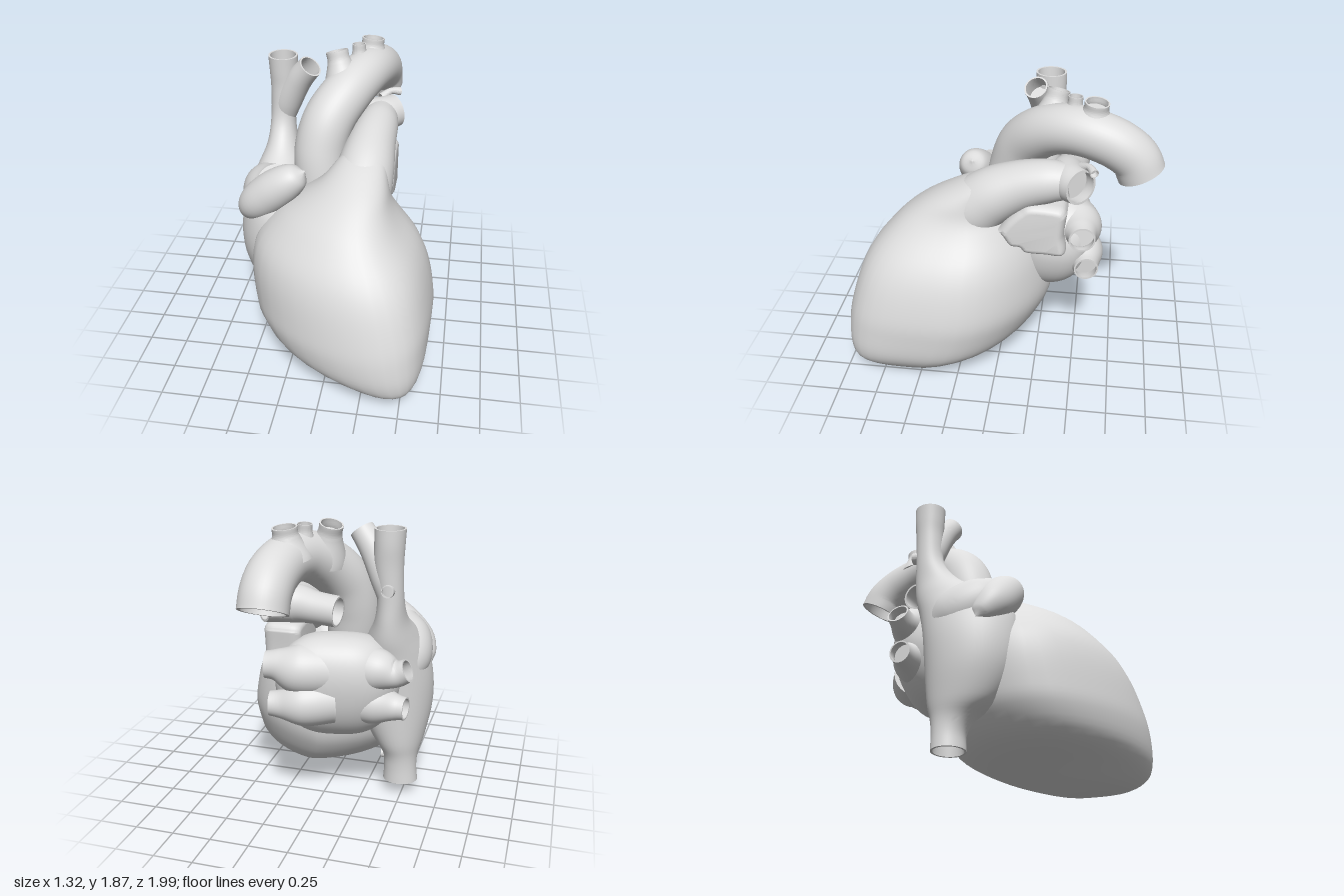
import * as THREE from 'three';
import { toCreasedNormals } from 'three/addons/utils/BufferGeometryUtils.js';

const SIDES = 40;
const V = (x, y, z) => new THREE.Vector3(x, y, z);
const soft = (v, p) => Math.sign(v) * Math.abs(v) ** p;

function centre(ring) {
  return ring.reduce((s, p) => s.add(p), V(0, 0, 0)).divideScalar(ring.length);
}

// Ends a run of rings: an open end gets a rim and an inner wall, a closed one a cap
function finishEnd(rings, depth) {
  const out = [...rings];
  const last = rings.length - 1;
  for (let i = 0; i < depth; i++) {
    const ring = rings[last - i], c = centre(ring);
    out.push(ring.map(p => p.clone().lerp(c, 0.13)));
  }
  const c = centre(out[out.length - 1]);
  out.push(rings[0].map(() => c.clone()));
  return out;
}

// Skin over a run of rings
function skin(rings, openStart = 0, openEnd = 0) {
  const ended = finishEnd(rings, openEnd);
  const started = finishEnd([...rings].reverse(), openStart).slice(rings.length).reverse();
  const all = [...started, ...ended];
  const pos = [], index = [];
  all.forEach(ring => ring.forEach(p => pos.push(p.x, p.y, p.z)));
  for (let i = 0; i < all.length - 1; i++) {
    for (let j = 0; j < SIDES; j++) {
      const a = i * SIDES + j, b = i * SIDES + (j + 1) % SIDES;
      index.push(a, b, b + SIDES, a, b + SIDES, a + SIDES);
    }
  }
  const geo = new THREE.BufferGeometry();
  geo.setAttribute('position', new THREE.Float32BufferAttribute(pos, 3));
  geo.setIndex(index);
  return toCreasedNormals(geo, 0.9);
}

// Round vessel through points [x, y, z, radius]
function vessel(points, openStart, openEnd, steps = 32) {
  const path = new THREE.CatmullRomCurve3(points.map(p => V(p[0], p[1], p[2])));
  const radius = new THREE.SplineCurve(points.map((p, i) => new THREE.Vector2(i, p[3])));
  let n = V(0.31, 0.2, 0.93);
  const rings = [];
  for (let i = 0; i <= steps; i++) {
    const u = i / steps, c = path.getPoint(u), t = path.getTangent(u);
    const r = Math.max(radius.getPoint(u).y, 0.001);
    n = n.clone().addScaledVector(t, -n.dot(t)).normalize();
    const b = t.clone().cross(n);
    rings.push(Array.from({ length: SIDES }, (_, j) => {
      const a = j / SIDES * Math.PI * 2;
      return c.clone().addScaledVector(n, r * Math.cos(a)).addScaledVector(b, r * Math.sin(a));
    }));
  }
  return skin(rings, openStart, openEnd);
}

// Body from level slices [y, xMin, xMax, zMin, zMax, lean of the front tip], rising in y;
// the back half can be pinched
function slices(rows, pinch, openStart, openEnd, steps = 56) {
  const curves = [0, 1, 2, 3, 4, 5].map(k =>
    new THREE.SplineCurve(rows.map((r, i) => new THREE.Vector2(i, r[k]))));
  const rings = [];
  for (let i = 0; i <= steps; i++) {
    const [y, x0, x1, z0, z1, lean] = curves.map(c => c.getPoint(i / steps).y);
    rings.push(Array.from({ length: SIDES }, (_, j) => {
      const a = j / SIDES * Math.PI * 2, s = -Math.sin(a);
      const c = soft(Math.cos(a), s < 0 ? pinch : 1);
      const shift = lean * s * Math.abs(s) * (s < 0 ? 0.2 : 1);
      return V((x0 + x1) / 2 + (x1 - x0) / 2 * c + shift, y, (z0 + z1) / 2 + (z1 - z0) / 2 * s);
    }));
  }
  return skin(rings, openStart, openEnd);
}

export function createModel() {
  const heart = new THREE.Group();
  heart.name = 'heart';
  const grey = new THREE.MeshStandardMaterial({ color: 0xdcdcdc, side: THREE.DoubleSide });
  grey.name = 'lightGrey';
  const add = (name, geo) => {
    const mesh = new THREE.Mesh(geo, grey);
    mesh.name = name;
    heart.add(mesh);
    return mesh;
  };

  // Ventricles
  add('ventricles', slices([
    [0.005, 0.28, 0.36, 0.46, 0.58, 0],
    [0.03, 0.14, 0.5, 0.3, 0.8, 0.08],
    [0.1, -0.06, 0.58, 0.05, 0.94, 0.16],
    [0.2, -0.35, 0.635, -0.16, 0.99, 0.23],
    [0.35, -0.48, 0.655, -0.28, 0.995, 0.24],
    [0.5, -0.52, 0.655, -0.33, 0.97, 0.23],
    [0.7, -0.53, 0.61, -0.32, 0.91, 0.21],
    [0.85, -0.49, 0.54, -0.28, 0.83, 0.18],
    [1.0, -0.37, 0.42, -0.2, 0.7, 0.13],
    [1.1, -0.24, 0.36, -0.1, 0.59, 0.08],
    [1.2, -0.1, 0.33, -0.03, 0.45, 0.03],
    [1.3, 0.0, 0.3, -0.05, 0.27, 0],
    [1.35, 0.06, 0.27, -0.03, 0.15, 0],
  ], 1.4));

  // Right atrium, running into the upper and lower great veins
  add('rightAtriumAndGreatVeins', slices([
    [0.1, -0.6, -0.37, -0.18, 0.03, 0],
    [0.2, -0.59, -0.375, -0.18, 0.03, 0],
    [0.29, -0.595, -0.36, -0.19, 0.08, 0],
    [0.4, -0.625, -0.28, -0.22, 0.21, 0],
    [0.6, -0.66, -0.16, -0.25, 0.32, 0],
    [0.8, -0.66, -0.15, -0.27, 0.34, 0],
    [1.0, -0.62, -0.2, -0.3, 0.3, 0],
    [1.13, -0.57, -0.26, -0.33, 0.17, 0],
    [1.25, -0.525, -0.32, -0.34, -0.03, 0],
    [1.4, -0.51, -0.345, -0.34, -0.15, 0],
    [1.6, -0.505, -0.325, -0.35, -0.17, 0],
    [1.73, -0.51, -0.325, -0.36, -0.165, 0],
    [1.83, -0.515, -0.325, -0.36, -0.16, 0],
  ], 1, 7, 9));
  add('rightAuricle', vessel([
    [-0.635, 0.86, 0.13, 0], [-0.605, 0.89, 0.145, 0.06], [-0.53, 0.985, 0.2, 0.115],
    [-0.42, 1.085, 0.22, 0.13], [-0.31, 1.175, 0.235, 0.115],
    [-0.235, 1.23, 0.24, 0.078], [-0.19, 1.265, 0.24, 0],
  ]));
  add('rightAuricleRoot', vessel([
    [-0.46, 0.86, -0.16, 0.12], [-0.47, 0.95, -0.04, 0.18], [-0.45, 1.03, 0.09, 0.18], [-0.385, 1.11, 0.18, 0.14],
  ]));
  add('upperVeinBranch', vessel([
    [-0.435, 1.36, -0.26, 0.07], [-0.39, 1.52, -0.245, 0.09],
    [-0.305, 1.69, -0.21, 0.085], [-0.225, 1.795, -0.175, 0.077],
  ], 0, 10));
  add('backVeinStub', vessel([[-0.43, 1.46, -0.25, 0.05], [-0.43, 1.47, -0.365, 0.038]], 0, 10));
  add('lowerVeinStub', vessel([[-0.46, 0.27, -0.08, 0.035], [-0.355, 0.27, -0.085, 0.03]], 0, 10));

  // Left atrium: a boxy rounded sac, swept back on its left side
  const sac = new THREE.SphereGeometry(1, 48, 32);
  const p = sac.attributes.position;
  for (let i = 0; i < p.count; i++) {
    const x = soft(p.getX(i), 0.68) * 0.38, y = soft(p.getY(i), 0.9), z = soft(p.getZ(i), 0.85);
    const narrow = y < 0 ? 1 + 0.12 * y : 1;
    p.setXYZ(i, -0.12 + x * narrow, 0.83 + y * 0.35, -0.3 + z * 0.27 - x * 0.18 - y * 0.06);
  }
  sac.computeVertexNormals();
  add('leftAtrium', sac);

  // Lung veins, two on each side, flaring into the left atrium
  const lungVeins = [
    ['leftUpperLungVein', 0.285, 1.0, -0.53, 0.085, 0], ['leftLowerLungVein', 0.25, 0.76, -0.565, 0.078, 0],
    ['rightUpperLungVein', -0.575, 1.0, -0.395, 0.072, 0.03], ['rightLowerLungVein', -0.565, 0.74, -0.375, 0.072, 0],
  ];
  for (const [name, x, y, z, r, lift] of lungVeins) {
    const d = Math.sign(x);
    add(name, vessel([
      [x - d * 0.36, y * 0.8 + 0.17, z * 0.5 - 0.16, r * 1.9], [x - d * 0.19, y * 0.88 + 0.1, z * 0.88 - 0.03, r * 1.85],
      [x - d * 0.07, y - lift, z + 0.01, r * 1.2], [x, y, z, r],
    ], 0, 12));
  }

  // Left auricle: a padded flap with a scalloped lower edge
  const flap = new THREE.Shape();
  flap.moveTo(0.02, 1.05);
  flap.splineThru([[-0.07, 1.12], [-0.14, 1.19], [-0.21, 1.23], [-0.38, 1.22], [-0.42, 1.18]]
    .map(q => new THREE.Vector2(-q[0], q[1])));
  flap.splineThru([[-0.405, 1.03], [-0.415, 0.9], [-0.3, 0.895], [-0.18, 0.9], [-0.14, 0.935], [-0.08, 0.945], [-0.04, 1.0], [-0.01, 1.04]]
    .map(q => new THREE.Vector2(-q[0], q[1])));
  const flapGeo = toCreasedNormals(new THREE.ExtrudeGeometry(flap, {
    depth: 0.1, bevelThickness: 0.07, bevelSize: 0.045, bevelOffset: -0.035, bevelSegments: 6, curveSegments: 24,
  }), 0.9);
  flapGeo.rotateY(Math.PI / 2);
  add('leftAuricle', flapGeo).position.x = 0.17;

  // Aorta and its three arch branches
  add('aorta', vessel([
    [-0.12, 0.9, 0.0, 0.15], [-0.14, 1.1, -0.03, 0.168], [-0.145, 1.28, -0.06, 0.17], [-0.1, 1.46, -0.12, 0.168],
    [0.0, 1.6, -0.25, 0.162], [0.085, 1.665, -0.4, 0.154], [0.135, 1.665, -0.55, 0.152],
    [0.16, 1.61, -0.715, 0.152], [0.163, 1.53, -0.817, 0.15], [0.163, 1.44, -0.86, 0.15],
  ], 0, 20, 56));
  const archBranches = [
    ['firstArchBranch', [-0.02, 1.62, -0.28], [-0.08, 1.85, -0.33], 0.073],
    ['secondArchBranch', [0.06, 1.68, -0.43], [0.05, 1.865, -0.44], 0.045],
    ['thirdArchBranch', [0.115, 1.68, -0.55], [0.13, 1.865, -0.57], 0.075],
  ];
  for (const [name, a, b, r] of archBranches) {
    const mid = a.map((v, i) => v * 0.3 + b[i] * 0.7);
    add(name, vessel([[...a, r * 1.9], [...mid, r * 1.08], [...b, r]], 0, 14));
  }

  // Lung artery: trunk rising out of the ventricles, then a fork
  add('lungArteryTrunk', vessel([
    [0.12, 0.95, 0.3, 0.12], [0.145, 1.08, 0.2, 0.19], [0.165, 1.21, 0.06, 0.185],
    [0.18, 1.305, -0.12, 0.16], [0.2, 1.36, -0.3, 0.138], [0.21, 1.375, -0.43, 0.115],
  ]));
  add('lungArteryFork', vessel([
    [-0.155, 1.35, -0.45, 0.095], [0.0, 1.36, -0.43, 0.1], [0.12, 1.37, -0.41, 0.118],
    [0.22, 1.375, -0.44, 0.12], [0.295, 1.38, -0.505, 0.112],
  ], 12, 10, 44));
  add('smallDuct', vessel([[0.2, 1.47, -0.5, 0.03], [0.26, 1.5, -0.55, 0.022], [0.32, 1.49, -0.58, 0.028]], 0, 8));

  return heart;
}
